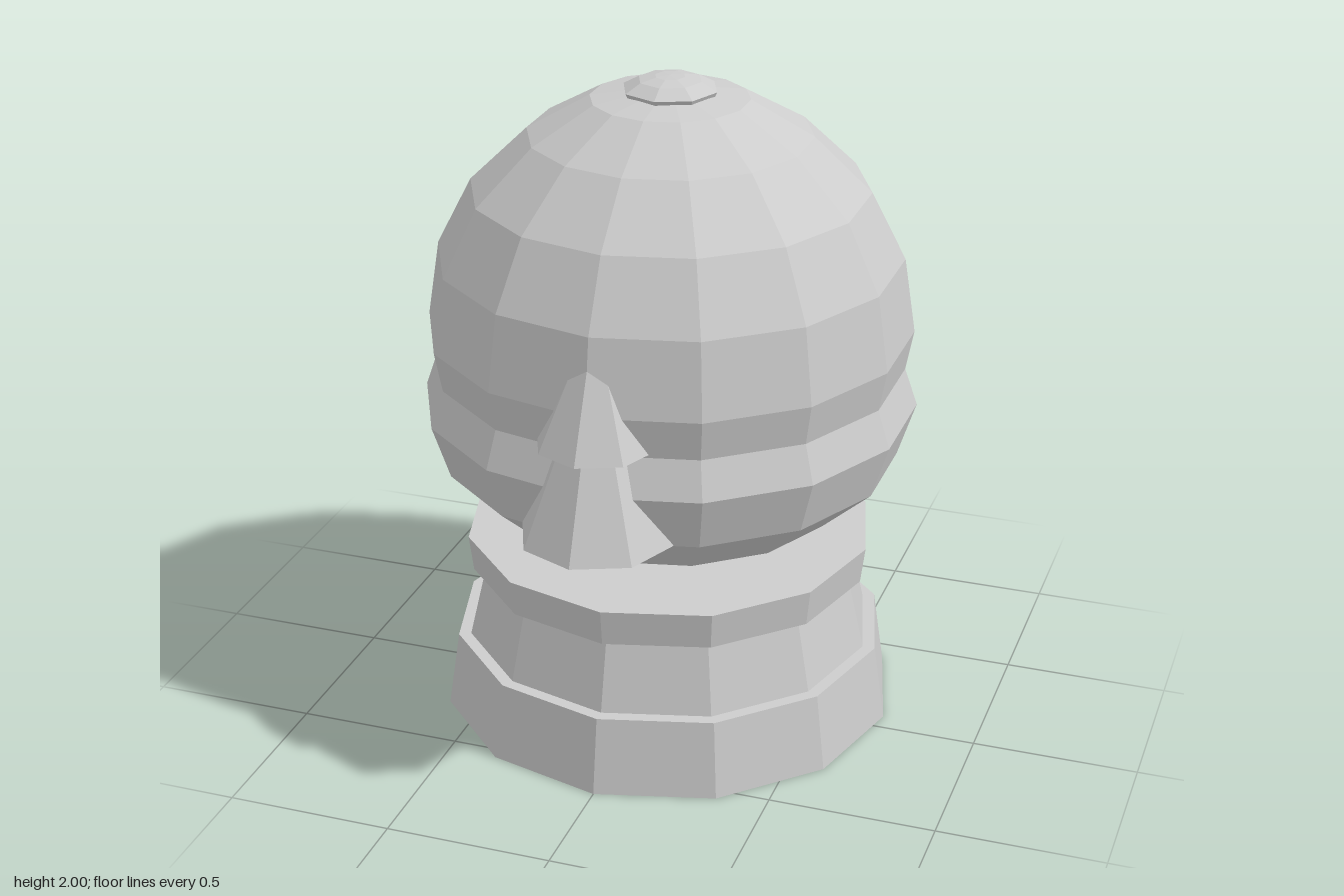
import * as THREE from 'three';

const AXIS_Z = -0.0625; // shared axis of base, globe and knob

export function createModel() {
  const model = new THREE.Group();
  model.name = 'snowGlobe';
  const grey = new THREE.MeshStandardMaterial({ color: 0xcccccc });
  grey.name = 'light grey';
  grey.flatShading = true;

  const add = (name, geometry, y, z) => {
    const mesh = new THREE.Mesh(geometry, grey);
    mesh.name = name;
    mesh.position.set(0, y, z);
    model.add(mesh);
  };
  // Profile of [radius, height] pairs, bottom to top
  const turned = (name, profile, sides) => add(
    name,
    new THREE.LatheGeometry(profile.map(([r, y]) => new THREE.Vector2(r, y)), sides),
    0, AXIS_Z
  );

  // Stepped twelve-sided base
  turned('base', [
    [0, 0], [0.70, 0], [0.665, 0.237], [0.627, 0.237], [0.575, 0.46],
    [0.611, 0.46], [0.625, 0.572], [0, 0.572],
  ], 12);

  // Faceted globe with a waist and a snow rim
  turned('globe', [
    [0, 0.50], [0.265, 0.572], [0.42, 0.646], [0.53, 0.689], [0.69, 0.833],
    [0.744, 0.998], [0.705, 1.112], [0.728, 1.234], [0.693, 1.462],
    [0.59, 1.664], [0.42, 1.828], [0.234, 1.934], [0, 1.97],
  ], 14);

  // Small cap on top
  turned('topKnob', [
    [0, 1.938], [0.13, 1.938], [0.142, 1.962], [0.095, 1.988], [0.045, 1.998], [0, 2],
  ], 8);

  // Two-tier fir tree, half sunk into the front of the globe
  const tier = (name, rTop, rBottom, y0, y1) => add(
    name, new THREE.CylinderGeometry(rTop, rBottom, y1 - y0, 8), (y0 + y1) / 2, 0.578
  );
  tier('treeLowerTier', 0.115, 0.228, 0.835, 1.122);
  tier('treeUpperTier', 0, 0.177, 1.122, 1.516);

  return model;
}
